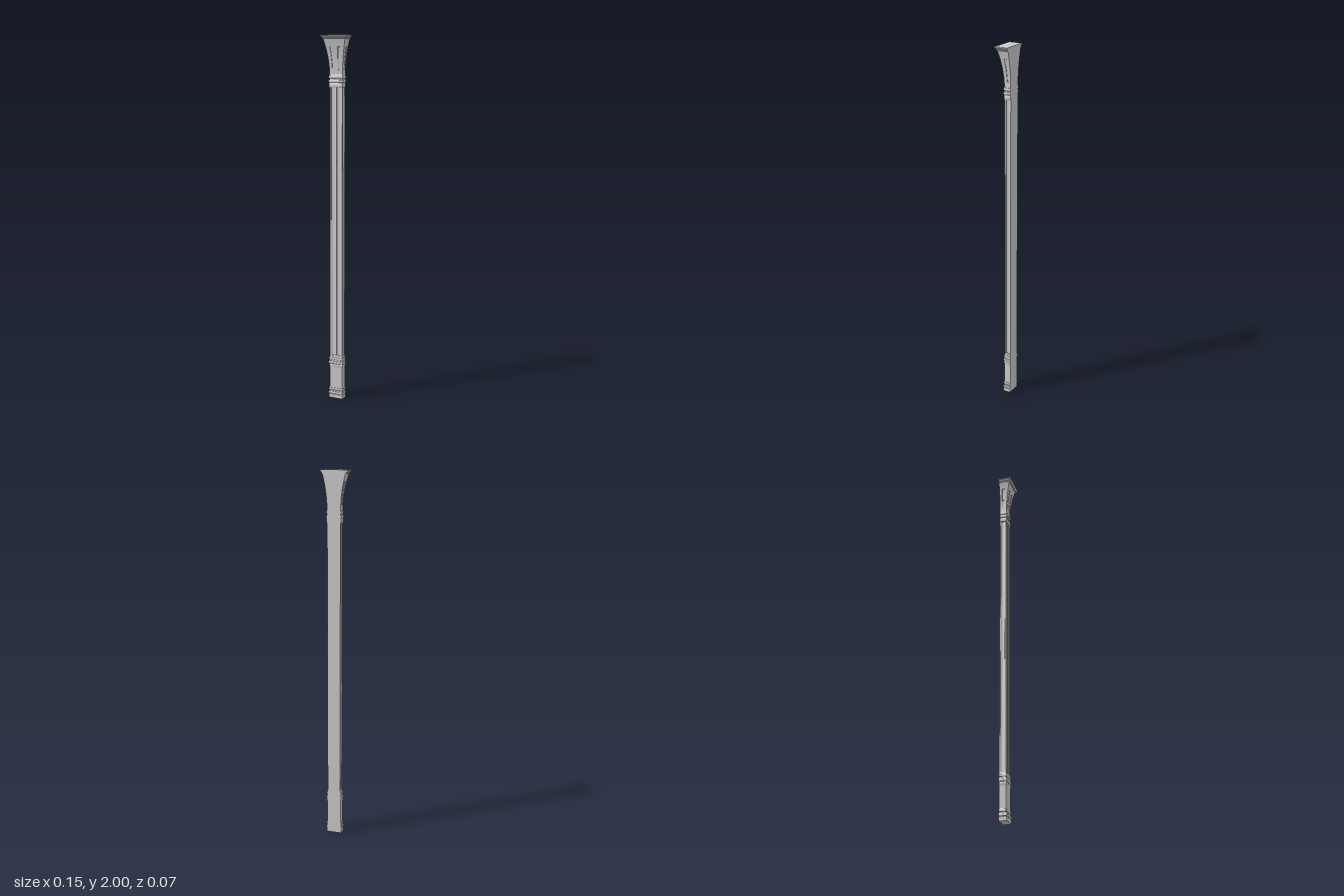
import * as THREE from 'three';
import { toCreasedNormals } from 'three/addons/utils/BufferGeometryUtils.js';

const BACK = -0.037; // flat wall plane
const material = new THREE.MeshStandardMaterial({ color: 0xcccccc });

// Groove across one half of a face: [t along the half face, depth 0..1]
function groove(from, to, steps = 8) {
  const pts = [];
  for (let i = 0; i <= steps; i++) {
    const a = (i / steps) * Math.PI;
    pts.push([(from + to) / 2 - Math.cos(a) * (to - from) / 2, Math.sin(a)]);
  }
  return pts;
}

// Half-square outline, open to the wall, with optional grooves in each half face
function outline(h, depth, flute) {
  const reversed = [...flute].reverse();
  const pts = [[h, 0]];
  for (const [t, d] of flute) pts.push([h - d * depth, t * h]);
  pts.push([h, h]);
  for (const [t, d] of reversed) pts.push([t * h, h - d * depth]);
  for (const [t, d] of flute) pts.push([-t * h, h - d * depth]);
  pts.push([-h, h]);
  for (const [t, d] of reversed) pts.push([-h + d * depth, t * h]);
  pts.push([-h, 0]);
  return pts;
}

// Loft outlines up a profile of [y, half width, groove depth]
function loft(name, profile, flute = [], crease = 0.5) {
  const rings = profile.map(([y, h, depth = 0]) =>
    outline(h, depth, flute).map(([x, z]) => [x, y, z + BACK]));
  const n = rings[0].length;
  const pos = [];
  const tri = (a, b, c) => pos.push(...a, ...b, ...c);
  for (let k = 0; k < rings.length - 1; k++) {
    const lo = rings[k], hi = rings[k + 1];
    for (let i = 0; i < n; i++) {
      const j = (i + 1) % n;
      tri(lo[i], hi[i], lo[j]);
      tri(lo[j], hi[i], hi[j]);
    }
  }
  // End caps
  for (const [ring, top] of [[rings[0], false], [rings[rings.length - 1], true]]) {
    const flat = ring.map(([x, , z]) => new THREE.Vector2(x, z));
    for (const [a, b, c] of THREE.ShapeUtils.triangulateShape(flat, [])) {
      if (top) tri(ring[a], ring[c], ring[b]);
      else tri(ring[a], ring[b], ring[c]);
    }
  }
  const geometry = new THREE.BufferGeometry();
  geometry.setAttribute('position', new THREE.Float32BufferAttribute(pos, 3));
  const mesh = new THREE.Mesh(toCreasedNormals(geometry, crease), material);
  mesh.name = name;
  return mesh;
}

// Rounded bead profile bulging from half width h
function bead(y0, y1, h, bulge, steps = 6) {
  return Array.from({ length: steps + 1 }, (_, i) => {
    const a = (i / steps) * Math.PI;
    return [(y0 + y1) / 2 - Math.cos(a) * (y1 - y0) / 2, h + Math.sin(a) * bulge];
  });
}

export function createModel() {
  const group = new THREE.Group();
  group.name = 'pilaster';

  // Foot and its mouldings
  group.add(loft('foot', [
    [0, 0.042], [0.022, 0.042], ...bead(0.024, 0.038, 0.04, 0.004),
    [0.044, 0.038], ...bead(0.046, 0.06, 0.039, 0.003), [0.066, 0.038],
  ]));
  group.add(loft('pedestal', [[0.066, 0.038], [0.18, 0.038]]));
  group.add(loft('pedestalMoulding', [
    [0.18, 0.038], [0.185, 0.04], [0.198, 0.04], ...bead(0.2, 0.216, 0.039, 0.004),
    [0.222, 0.038], ...bead(0.224, 0.238, 0.038, 0.003), [0.25, 0.036],
  ]));

  // Shaft with two flutes across the front and one on each side
  group.add(loft('flutedShaft',
    [[0.25, 0.036, 0.006], [1.728, 0.036, 0.006]], groove(0.1, 0.8)));

  group.add(loft('neckMoulding', [
    [1.728, 0.037], [1.732, 0.039], [1.752, 0.039], ...bead(1.754, 1.768, 0.038, 0.004),
    [1.774, 0.037], ...bead(1.776, 1.792, 0.038, 0.003), [1.796, 0.037],
  ]));

  // Flared capital with a slot in each half face
  const flare = (y) => 0.037 + 0.025 * Math.pow((y - 1.796) / 0.182, 1.9);
  const bell = [];
  for (let i = 0; i <= 14; i++) {
    const y = 1.796 + 0.013 * i;
    const slotted = i >= 2 && i <= 11;
    if (i === 2) bell.push([y - 0.001, flare(y - 0.001), 0]);
    bell.push([y, flare(y), slotted ? 0.004 : 0]);
    if (i === 11) bell.push([y + 0.001, flare(y + 0.001), 0]);
  }
  group.add(loft('capital', bell, groove(0.3, 0.55, 6)));

  // Top slab
  group.add(loft('abacus', [
    [1.978, 0.063], [1.981, 0.066], [1.985, 0.066], [1.99, 0.071],
    [1.993, 0.0735], [1.998, 0.0735], [2, 0.072],
  ]));
  return group;
}
